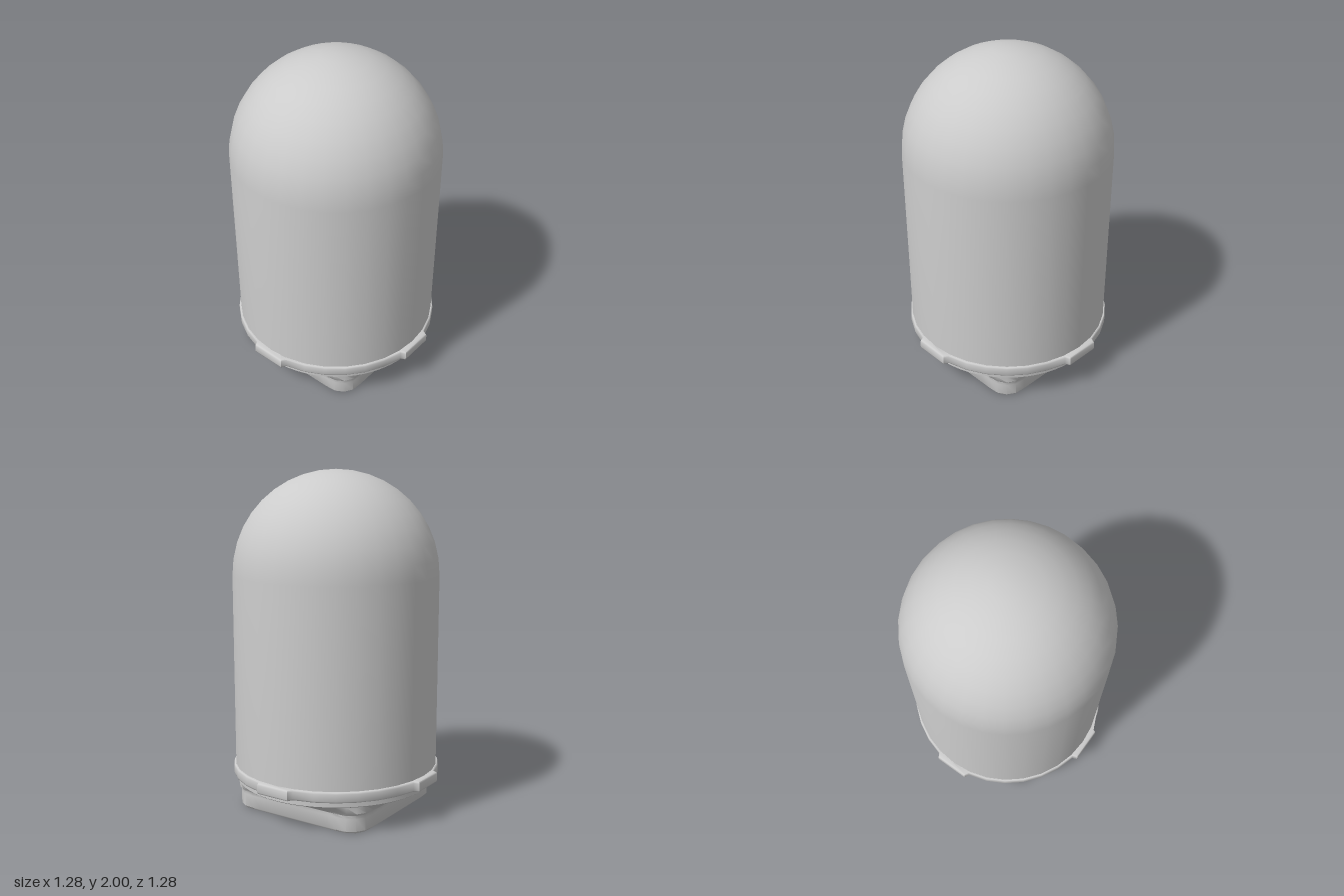
import * as THREE from 'three';
import { toCreasedNormals } from 'three/addons/utils/BufferGeometryUtils.js';

const material = new THREE.MeshStandardMaterial({ color: 0xcccccc });
const SIDES = 32;

function part(name, geometry, crease = 0.6) {
  const mesh = new THREE.Mesh(toCreasedNormals(geometry, crease), material);
  mesh.name = name;
  return mesh;
}

// Distance from the centre to a rounded square of half-width h, at angle a
function roundedSquareRadius(h, r, a) {
  const c = Math.max(Math.abs(Math.cos(a)), Math.abs(Math.sin(a)));
  const s = Math.min(Math.abs(Math.cos(a)), Math.abs(Math.sin(a)));
  const k = h - r;
  if (h * s / c <= k) return h / c;
  const b = k * (c + s);
  return b + Math.sqrt(b * b - 2 * k * k + r * r);
}

// Hollow dome: half sphere on a straight wall, with an inner skin
function domeGeometry() {
  const points = [];
  const skin = (radius) => {
    const arc = [[radius, 0.2]];
    for (let i = 0; i <= 10; i++) {
      const t = (i / 10) * Math.PI / 2;
      arc.push([i === 10 ? 0 : radius * Math.cos(t), 1.39 + radius * Math.sin(t)]);
    }
    return arc;
  };
  points.push(...skin(0.597).reverse(), ...skin(0.61));
  return new THREE.LatheGeometry(points.map(([x, y]) => new THREE.Vector2(x, y)), SIDES);
}

// Collar ring with four trapezoid tabs
function collarGeometry() {
  const outline = [];
  for (let q = 0; q < 4; q++) {
    const turn = (q * Math.PI) / 2;
    const add = (x, y) => outline.push(new THREE.Vector2(x, y).rotateAround(new THREE.Vector2(), turn));
    add(0.61, -0.121);
    add(0.64, -0.106);
    add(0.64, 0.106);
    add(0.61, 0.121);
    for (let i = 2; i < 7; i++) {
      const a = (i / SIDES) * Math.PI * 2;
      add(0.622 * Math.cos(a), 0.622 * Math.sin(a));
    }
  }
  const shape = new THREE.Shape(outline);
  shape.holes.push(new THREE.Path().absarc(0, 0, 0.602, 0, Math.PI * 2, true));
  const bevel = 0.012;
  const geometry = new THREE.ExtrudeGeometry(shape, {
    depth: 0.065 - 2 * bevel, bevelThickness: bevel, bevelSize: bevel,
    bevelOffset: -bevel, bevelSegments: 2, curveSegments: 16,
  });
  return geometry.rotateX(-Math.PI / 2).translate(0, 0.195 + bevel, 0);
}

// Hollow foot: a rounded square socket flaring out to a round flange
function footGeometry() {
  // [half-width, y, roundness (0 square, 1 circle)]
  const sections = [
    [0.592, 0.2, 1], [0.58, 0.18, 1], [0.45, 0.13, 0.4], [0.405, 0.1, 0], [0.405, 0.01, 0],
    [0.412, 0, 0], [0.435, 0, 0], [0.445, 0.012, 0], [0.445, 0.085, 0], [0.45, 0.105, 0.05],
    [0.475, 0.12, 0.2], [0.59, 0.16, 1], [0.602, 0.168, 1], [0.602, 0.2, 1], [0.592, 0.2, 1],
  ];
  const geometry = new THREE.LatheGeometry(sections.map(([x, y]) => new THREE.Vector2(x, y)), 64);
  const pos = geometry.attributes.position;
  for (let i = 0; i < pos.count; i++) {
    const [half, , round] = sections[i % sections.length];
    const a = Math.atan2(pos.getZ(i), pos.getX(i));
    const square = roundedSquareRadius(half, 0.12 - (0.445 - Math.min(half, 0.445)), a);
    const radius = Math.min(0.602, THREE.MathUtils.lerp(square, half, round));
    pos.setX(i, radius * Math.cos(a));
    pos.setZ(i, radius * Math.sin(a));
  }
  return geometry;
}

export function createModel() {
  const model = new THREE.Group();
  model.name = 'domeCover';
  model.add(
    part('dome', domeGeometry()),
    part('collar', collarGeometry(), 0.9),
    part('foot', footGeometry(), 0.7),
  );
  return model;
}
